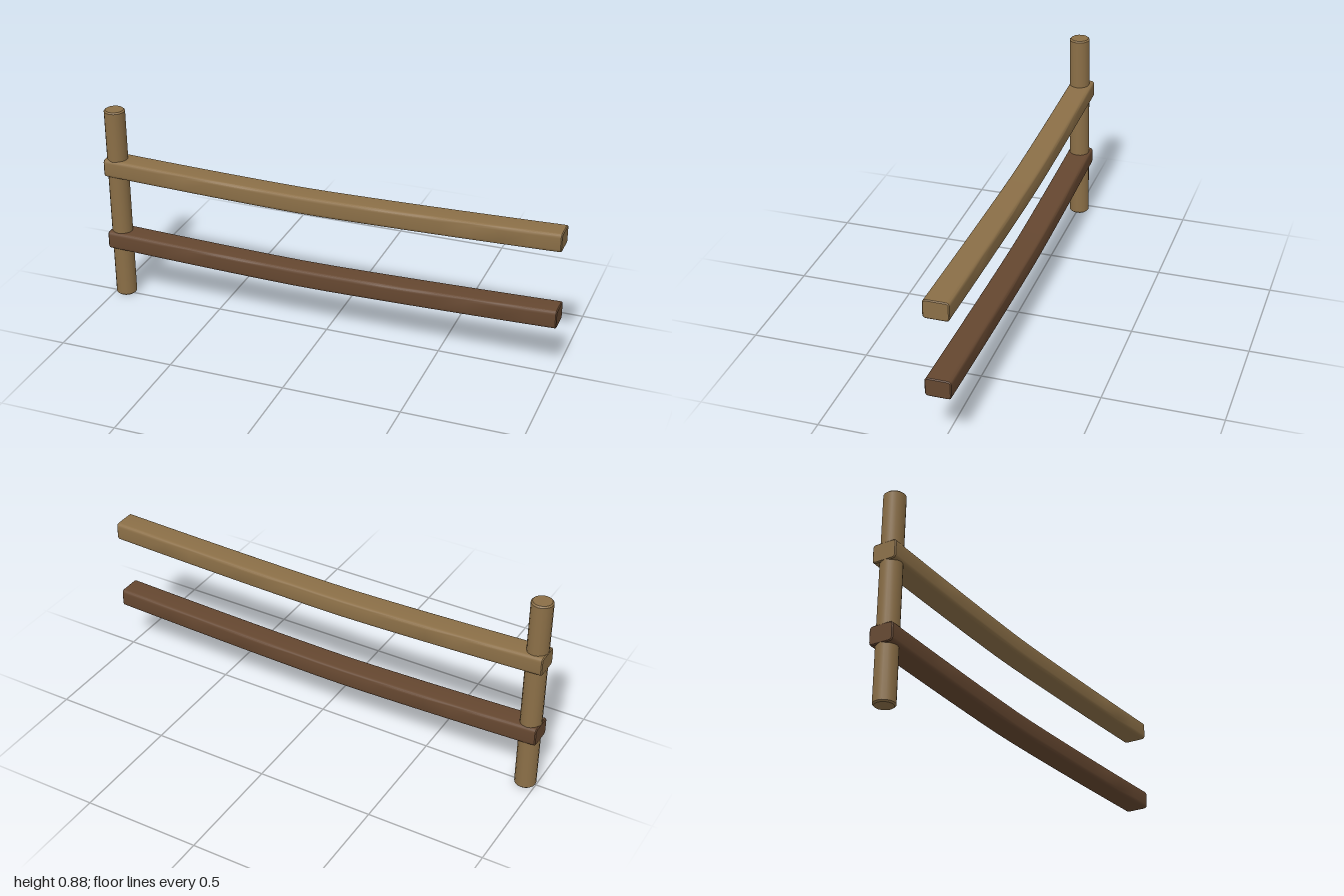
import * as THREE from 'three';
import { toCreasedNormals } from 'three/addons/utils/BufferGeometryUtils.js';

const mat = (color) => new THREE.MeshStandardMaterial({ color });

// rounded beam along x that sags towards a low point
function railGeometry(length, height, depth) {
  const b = 0.004, r = 0.016, w = depth / 2, h = height / 2;
  const s = new THREE.Shape();
  s.moveTo(-w + r, -h);
  s.lineTo(w - r, -h);
  s.quadraticCurveTo(w, -h, w, -h + r);
  s.lineTo(w, h - r);
  s.quadraticCurveTo(w, h, w - r, h);
  s.lineTo(-w + r, h);
  s.quadraticCurveTo(-w, h, -w, h - r);
  s.lineTo(-w, -h + r);
  s.quadraticCurveTo(-w, -h, -w + r, -h);
  const geo = new THREE.ExtrudeGeometry(s, {
    depth: length - 2 * b, steps: 16, curveSegments: 4,
    bevelEnabled: true, bevelThickness: b, bevelSize: b, bevelOffset: -b, bevelSegments: 1,
  });
  geo.translate(0, 0, -length / 2 + b);
  geo.rotateY(Math.PI / 2);

  // sag in y, with a slight sideways drift at the low point
  const low = -0.08, p = geo.attributes.position;
  for (let i = 0; i < p.count; i++) {
    const x = p.getX(i);
    const t = Math.abs(x - low) / (x < low ? 1 + low : 1 - low);
    const k = 1 - Math.pow(Math.min(t, 1), 1.4);
    p.setY(i, p.getY(i) - 0.025 * k);
    p.setZ(i, p.getZ(i) - 0.003 * k);
  }
  return toCreasedNormals(geo, 0.6);
}

export function createModel() {
  const group = new THREE.Group();

  // round post with chamfered ends, leaning slightly forward
  const R = 0.045, H = 0.88, c = 0.006;
  const profile = [[0, 0], [R - c, 0], [R, c], [R, H - c], [R - c, H], [0, H]]
    .map(([x, y]) => new THREE.Vector2(x, y));
  const postGeo = toCreasedNormals(new THREE.LatheGeometry(profile, 16), 0.6);
  const post = new THREE.Mesh(postGeo, mat(0x8b6f47));
  post.name = 'post';
  post.position.set(-0.955, 0, -0.005);
  post.rotation.x = 0.0155;
  group.add(post);

  // two sagging rails
  const geo = railGeometry(2, 0.08, 0.106);
  for (const [name, y, color] of [['upperRail', 0.617, 0x8b6f47], ['lowerRail', 0.273, 0x654730]]) {
    const rail = new THREE.Mesh(geo, mat(color));
    rail.name = name;
    rail.position.y = y;
    group.add(rail);
  }
  return group;
}
